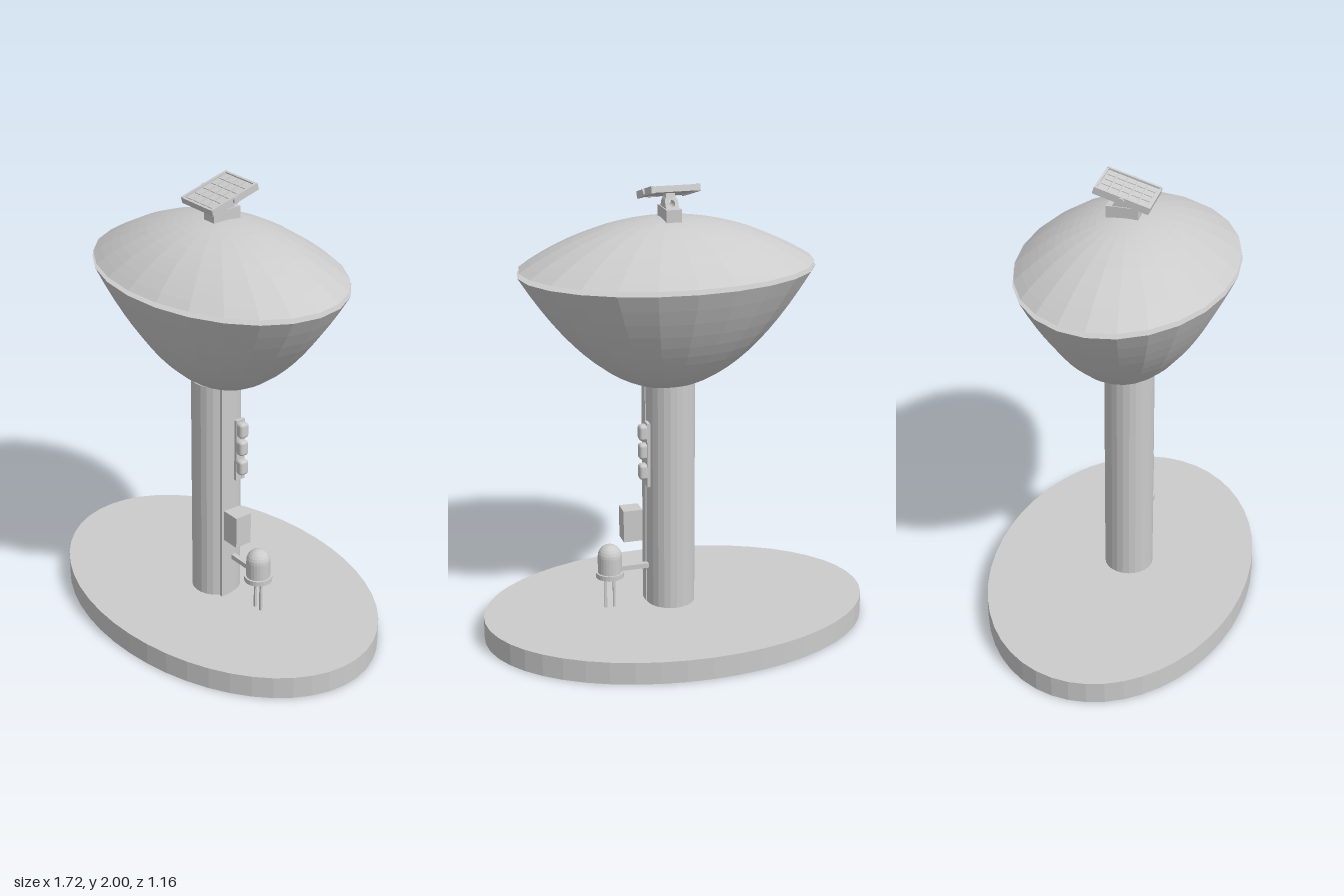
import * as THREE from 'three';
import { RoundedBoxGeometry } from 'three/addons/geometries/RoundedBoxGeometry.js';

export function createModel() {
  const model = new THREE.Group();
  const flat = new THREE.MeshStandardMaterial({ color: 0xcccccc, flatShading: true });
  const smooth = new THREE.MeshStandardMaterial({ color: 0xcccccc });

  const add = (name, geo, x, y, z, parent = model, mat = flat) => {
    const mesh = new THREE.Mesh(geo, mat);
    mesh.name = name;
    mesh.position.set(x, y, z);
    parent.add(mesh);
    return mesh;
  };
  const box = (name, w, h, d, x, y, z, parent) =>
    add(name, new THREE.BoxGeometry(w, h, d), x, y, z, parent);

  // Oval ground plate
  add('base', new THREE.CylinderGeometry(1, 1, 0.1, 48), 0, 0.05, 0).scale.set(0.86, 1, 0.582);

  // Column, running up into the bowl
  add('column', new THREE.CylinderGeometry(0.108, 0.108, 1.03, 24), 0.015, 0.615, 0.027);

  // Oval parabolic bowl and domed lid, closed at the rim, with a gap between
  const paraboloid = (height) => {
    const pts = [];
    for (let i = 0; i <= 14; i++) {
      const r = i / 14;
      pts.push(new THREE.Vector2(r, height * r * r));
    }
    pts.push(new THREE.Vector2(0, height));
    if (height < 0) pts.reverse();
    return new THREE.LatheGeometry(pts, 24);
  };
  add('bowl', paraboloid(0.52), 0.027, 1.105, 0.02).scale.set(0.64, 1, 0.46);
  add('lid', paraboloid(-0.2), 0.027, 1.845, 0.02).scale.set(0.634, 1, 0.456);

  // Flat conduit strip along the column
  box('conduit', 0.014, 1.03, 0.052, 0.12, 0.615, 0.056);

  // Signal lamps: back plate with three rounded lamps
  box('signalPlate', 0.014, 0.29, 0.046, 0.128, 0.815, -0.013);
  for (const y of [0.917, 0.832, 0.738]) {
    add('signalLamp', new RoundedBoxGeometry(0.04, 0.07, 0.046, 3, 0.014), 0.148, y, -0.013, model, smooth);
  }

  // Control box with a short mount
  box('controlBox', 0.085, 0.145, 0.08, 0.19, 0.478, 0.045);

  // Bulb lamp on two wire legs, tied to the column by a bar
  const bulb = new THREE.Group();
  bulb.name = 'bulbLamp';
  bulb.position.set(0.296, 0, 0.012);
  model.add(bulb);
  const profile = [[0, 0.25], [0.062, 0.25], [0.062, 0.272], [0.053, 0.272], [0.053, 0.347]]
    .map(([r, y]) => new THREE.Vector2(r, y));
  for (let i = 1; i <= 6; i++) {
    const a = (i / 6) * Math.PI / 2;
    profile.push(new THREE.Vector2(0.053 * Math.cos(a), 0.347 + 0.053 * Math.sin(a)));
  }
  add('bulbBody', new THREE.LatheGeometry(profile, 24), 0, 0, 0, bulb);
  for (const x of [-0.018, 0.02]) box('bulbLeg', 0.01, 0.16, 0.01, x, 0.175, 0, bulb);
  box('bulbArm', 0.14, 0.022, 0.022, 0.185, 0.283, 0.012);

  // Panel foot on top of the lid
  box('panelFoot', 0.066, 0.06, 0.136, 0.023, 1.86, 0);

  // Upright bracket with a round hole, tapering towards the panel
  const shape = new THREE.Shape();
  shape.moveTo(-0.028, 0);
  shape.lineTo(0.028, 0);
  shape.lineTo(0.028, 0.03);
  shape.absarc(0, 0.03, 0.028, 0, Math.PI, false);
  const hole = new THREE.Path();
  hole.absarc(0, 0.024, 0.014, 0, Math.PI * 2, true);
  shape.holes.push(hole);
  const bracketGeo = new THREE.ExtrudeGeometry(shape, { depth: 0.09, bevelEnabled: false, curveSegments: 8 });
  bracketGeo.translate(0, 0, -0.045);
  const pos = bracketGeo.attributes.position;
  for (let i = 0; i < pos.count; i++) {
    pos.setZ(i, pos.getZ(i) * (1 - 0.6 * Math.min(pos.getY(i) / 0.05, 1)));
  }
  bracketGeo.computeVertexNormals();
  add('panelBracket', bracketGeo, 0.023, 1.885, 0);

  // Tilted panel: backing, frame rails, cells and side pivots
  const panel = new THREE.Group();
  panel.name = 'panel';
  panel.position.set(0.025, 1.953, 0.015);
  panel.rotation.x = 0.28;
  model.add(panel);
  box('panelBacking', 0.2, 0.018, 0.236, 0, -0.002, 0, panel);
  for (const s of [-1, 1]) {
    box('panelSideRail', 0.012, 0.03, 0.24, s * 0.098, 0, 0, panel);
    box('panelEndRail', 0.2, 0.026, 0.01, 0, 0, s * 0.116, panel);
    add('panelPivot', new THREE.CylinderGeometry(0.014, 0.014, 0.012, 12), s * 0.106, 0, 0, panel)
      .rotation.z = Math.PI / 2;
  }
  for (let i = 0; i < 4; i++) {
    for (let j = 0; j < 5; j++) {
      box('panelCell', 0.038, 0.004, 0.036, (i - 1.5) * 0.045, 0.008, (j - 2) * 0.043, panel);
    }
  }
  box('panelHinge', 0.04, 0.02, 0.05, 0, -0.018, -0.005, panel);

  return model;
}
